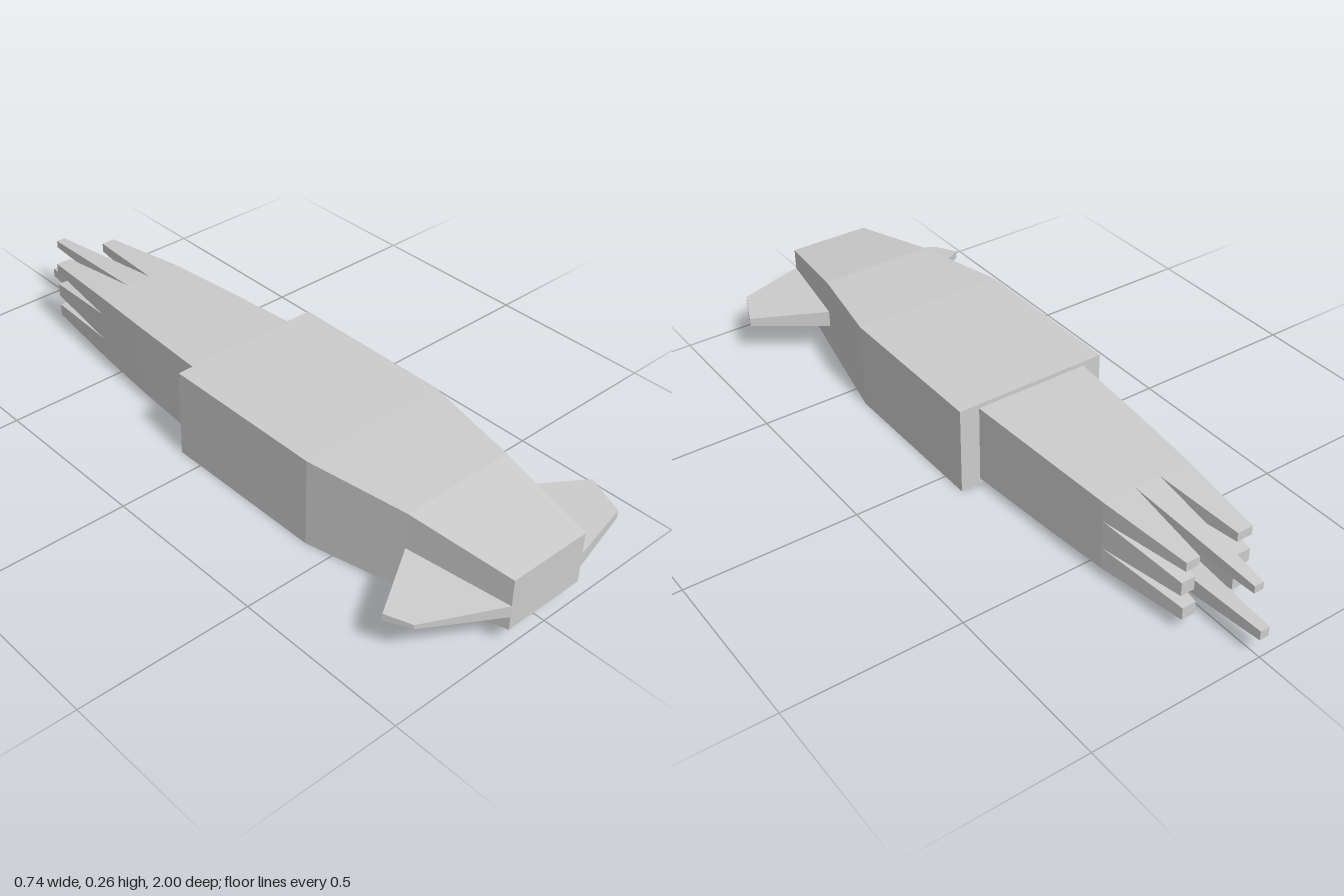
import * as THREE from 'three';

const material = new THREE.MeshStandardMaterial({ color: 0xcccccc, flatShading: true });

// Rectangular cross-section at depth z, counter-clockwise seen from +z
const rect = (z, x0, x1, y0, y1) => [[x0, y0, z], [x1, y0, z], [x1, y1, z], [x0, y1, z]];

// Capped solid through four-cornered rings, ordered along the direction they face
function loft(name, rings) {
  const pos = [];
  const quad = (a, b, c, d) => pos.push(...a, ...b, ...c, ...a, ...c, ...d);
  for (let i = 0; i < rings.length - 1; i++) {
    for (let j = 0; j < 4; j++) {
      const k = (j + 1) % 4;
      quad(rings[i][j], rings[i][k], rings[i + 1][k], rings[i + 1][j]);
    }
  }
  const [a, b, c, d] = rings[0];
  quad(d, c, b, a);
  quad(...rings[rings.length - 1]);
  const geometry = new THREE.BufferGeometry();
  geometry.setAttribute('position', new THREE.Float32BufferAttribute(pos, 3));
  geometry.computeVertexNormals();
  const mesh = new THREE.Mesh(geometry, material);
  mesh.name = name;
  return mesh;
}

// Thin fin from plan corners [x, z, bottom, top]
const fin = (name, corners) => loft(name, [
  corners.map(([x, z, y0]) => [x, y0, z]),
  corners.map(([x, z, , y1]) => [x, y1, z]),
]);

export function createModel() {
  const group = new THREE.Group();

  // Tapered body with its blunt end to the front
  group.add(loft('mantle', [
    rect(-0.08, -0.24, 0.22, 0.002, 0.264),
    rect(0.42, -0.24, 0.22, 0.002, 0.264),
    rect(0.71, -0.185, 0.163, 0.015, 0.251),
    rect(1, -0.134, 0.115, 0.058, 0.21),
  ]));

  // Narrower head behind the mantle
  group.add(loft('head', [
    rect(-0.56, -0.146, 0.128, 0.03, 0.238),
    rect(-0.36, -0.163, 0.142, 0.024, 0.244),
    rect(-0.08, -0.183, 0.16, 0.019, 0.251),
  ]));

  // Side fins
  group.add(fin('leftFin', [
    [0.115, 1, 0.105, 0.146], [0.317, 0.95, 0.112, 0.136],
    [0.367, 0.83, 0.112, 0.136], [0.163, 0.71, 0.098, 0.148],
  ]));
  group.add(fin('rightFin', [
    [-0.185, 0.71, 0.094, 0.145], [-0.37, 0.82, 0.107, 0.128],
    [-0.338, 0.89, 0.11, 0.123], [-0.134, 1, 0.098, 0.132],
  ]));

  // Eight tentacles around the rim of a three by three grid
  const baseX = [-0.146, -0.05, 0.028, 0.128];
  const baseY = [0.03, 0.095, 0.18, 0.238];
  const tipX = [[-0.12, -0.073], [-0.022, 0.006], [0.055, 0.096]];
  const tipY = [[0.043, 0.08], [0.112, 0.152], [0.195, 0.222]];
  const middleTipY = [[0.06, 0.088], null, [0.18, 0.202]];
  const tipZ = [[-0.82, -1, -0.83], [-0.82, 0, -0.82], [-0.82, -0.965, -0.83]];
  const tentacles = new THREE.Group();
  tentacles.name = 'tentacles';
  for (let row = 0; row < 3; row++) {
    for (let col = 0; col < 3; col++) {
      if (row === 1 && col === 1) continue;
      const y = col === 1 ? middleTipY[row] : tipY[row];
      tentacles.add(loft('tentacle', [
        rect(tipZ[row][col], ...tipX[col], ...y),
        rect(-0.56, baseX[col], baseX[col + 1], baseY[row], baseY[row + 1]),
      ]));
    }
  }
  group.add(tentacles);
  return group;
}
